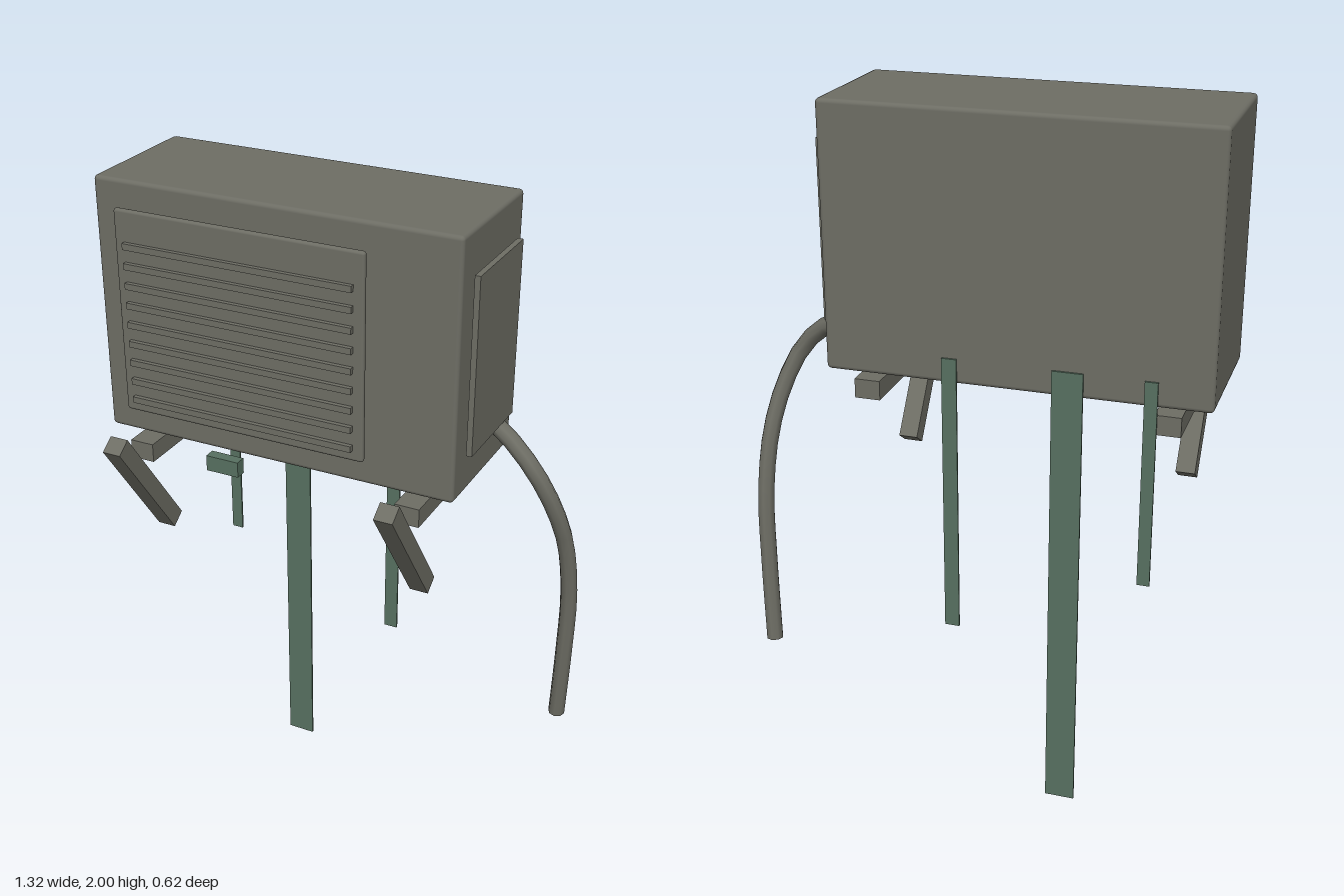
import * as THREE from 'three';
import { RoundedBoxGeometry } from 'three/addons/geometries/RoundedBoxGeometry.js';

const grey = new THREE.MeshStandardMaterial({ color: 0x6d6d64 });
grey.name = 'casing grey';
const green = new THREE.MeshStandardMaterial({ color: 0x577060 });
green.name = 'strap green';

export function createModel() {
  const model = new THREE.Group();
  model.name = 'wallAirConditioner';

  const add = (name, geometry, material, x = 0, y = 0, z = 0) => {
    const mesh = new THREE.Mesh(geometry, material);
    mesh.name = name;
    mesh.position.set(x, y, z);
    model.add(mesh);
    return mesh;
  };
  // Box given by its limits on each axis, optionally with rounded edges
  const block = (name, material, [x0, x1], [y0, y1], [z0, z1], radius = 0) => {
    const size = [x1 - x0, y1 - y0, z1 - z0];
    const geometry = radius
      ? new RoundedBoxGeometry(...size, 2, radius)
      : new THREE.BoxGeometry(...size);
    return add(name, geometry, material, (x0 + x1) / 2, (y0 + y1) / 2, (z0 + z1) / 2);
  };

  // Casing
  block('casing', grey, [-0.66, 0.403], [1.265, 2], [-0.281, 0.128], 0.012);

  // Front grille: fan ring, panel and slats
  const ring = add('fanRing', new THREE.CylinderGeometry(0.245, 0.245, 0.014, 32), grey, -0.217, 1.635, 0.131);
  ring.rotation.x = Math.PI / 2;
  block('grillePanel', grey, [-0.587, 0.152], [1.34, 1.928], [0.136, 0.154], 0.008);
  for (let i = 0; i < 9; i++) {
    const y = 1.38 + i * 0.0563;
    block('grilleSlat', grey, [-0.557, 0.122], [y - 0.009, y + 0.009], [0.15, 0.167]);
  }

  // Service cover on the side
  block('sideCover', grey, [0.412, 0.428], [1.385, 1.885], [-0.225, 0.07]);

  // Wall brackets: level arm and slanting strut
  const top = new THREE.Vector2(0.29, 1.293);
  const bottom = new THREE.Vector2(0.037, 0.936);
  for (const x of [-0.543, 0.286]) {
    block('bracketArm', grey, [x - 0.036, x + 0.036], [1.19, 1.245], [-0.281, 0.16]);
    const strut = add('bracketStrut', new THREE.BoxGeometry(0.055, top.distanceTo(bottom), 0.053), grey,
      x, (top.y + bottom.y) / 2, (top.x + bottom.x) / 2);
    strut.rotation.x = Math.atan2(top.x - bottom.x, top.y - bottom.y);
  }

  // Hanging straps behind the casing: [left edge, right edge, lower end]
  for (const [x0, x1, y0] of [[-0.515, -0.48, 0.745], [-0.318, -0.233, 0], [0.028, 0.07, 0.523]]) {
    block('hangingStrap', green, [x0, x1], [y0, 1.336], [-0.287, -0.281]);
  }
  block('drainBlock', green, [-0.326, -0.226], [1.21, 1.256], [0.132, 0.165]);

  // Hose leaving the side and drooping back to the wall
  const path = new THREE.CatmullRomCurve3([
    [0.4, 1.365, -0.175], [0.455, 1.34, -0.152], [0.535, 1.265, -0.138], [0.59, 1.15, -0.165],
    [0.618, 1.02, -0.208], [0.63, 0.84, -0.243], [0.625, 0.63, -0.262], [0.613, 0.378, -0.283],
  ].map((p) => new THREE.Vector3(...p)));
  add('hose', new THREE.TubeGeometry(path, 16, 0.025, 8), grey);
  const cap = add('hoseEnd', new THREE.CircleGeometry(0.025, 8), grey, ...path.getPoint(1));
  cap.lookAt(path.getPoint(1).add(path.getTangent(1)));

  return model;
}
